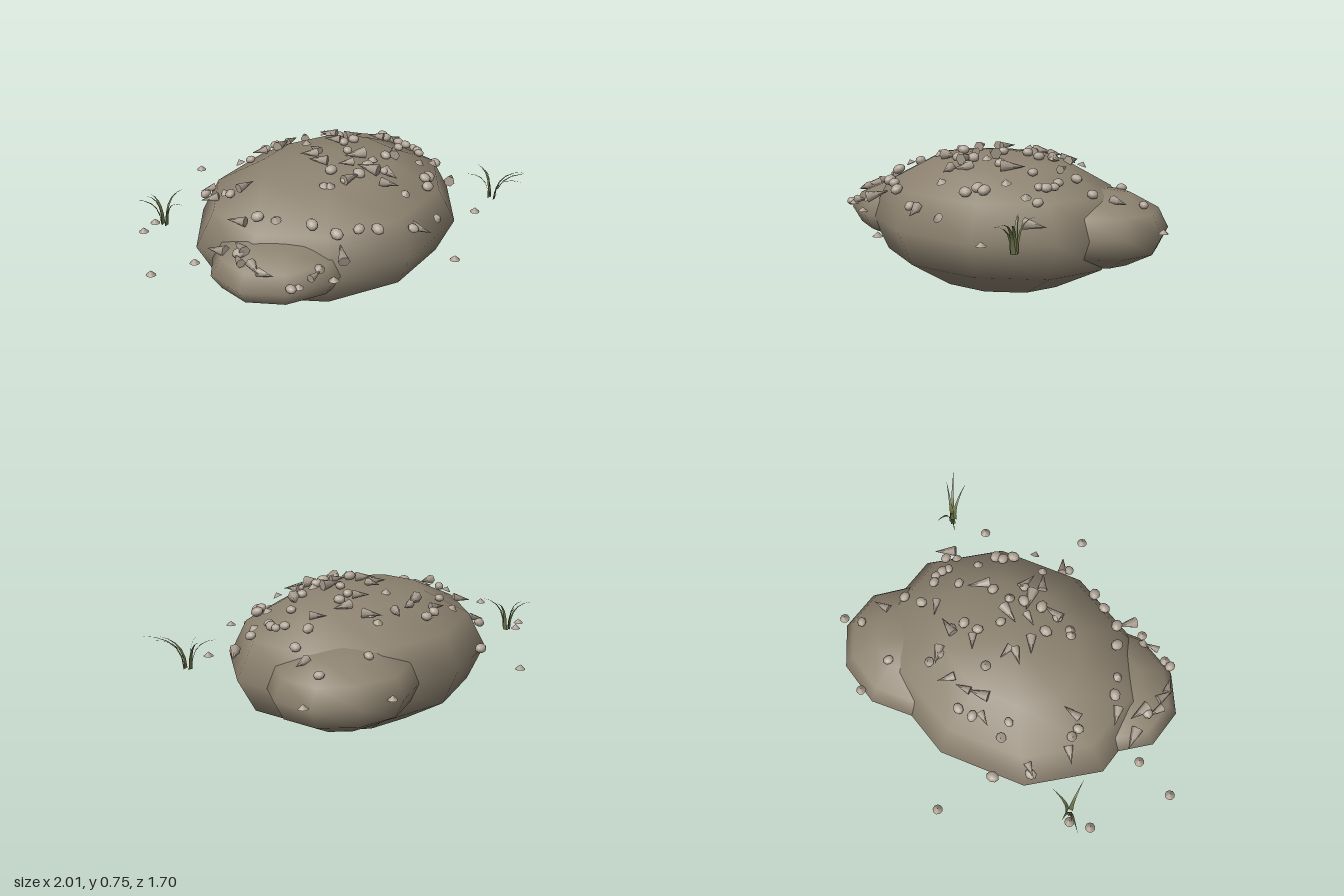
import * as THREE from 'three';

const mat = (name, color, side = THREE.FrontSide) => {
  const m = new THREE.MeshStandardMaterial({ color, side });
  m.name = name;
  return m;
};

// Lobes of the mound: name, centre x and z, radii
const BASE_Y = .36;
const LOBES = [
  ['mainMound', .1, .03, .766, .36, .61],
  ['leftBackLobe', .56, -.22, .4, .2, .36],
  ['rightFrontLobe', -.36, .22, .41, .16, .34],
];

// x, z of smooth pebbles lying on the mound
const PEBBLES = [
  [-.14, -.31], [-.43, -.12], [-.47, .14], [.11, -.4], [.03, -.39], [.58, -.39], [.84, -.3],
  [.35, -.04], [.27, -.03], [.2, .07], [.62, -.06], [.73, -.07], [.64, .07], [.66, .11], [.65, .15],
  [.63, .18], [-.01, .17], [-.01, .27], [.09, .27], [.41, .45], [.44, .4], [.48, .39], [.52, .13],
  [-.32, .37], [-.25, .47], [-.58, .51], [-.14, .51], [-.05, .55], [.15, .6], [.23, .31], [-.2, -.53],
  [-.36, -.42], [-.64, .2], [.18, .24], [.7, .24], [.35, .2],
];
// x, z of small faceted stones on the mound
const CHIPS = [
  [.38, -.3], [.36, -.24], [.12, -.16], [-.43, -.17], [.25, .21], [.52, .29], [.65, .27], [-.12, .24],
  [-.43, .23], [.39, -.1], [-.15, -.39], [.23, .47], [-.4, .52], [-.54, .52], [.36, .58], [-.1, .26],
];
// x, z of small stones around the mound
const LOOSE = [
  [-.975, -.06], [-.75, -.44], [-.75, -.01], [-.08, -.83], [.22, .82], [.68, .55], [.97, -.31],
  [.64, -.57], [-.36, .57], [-.65, -.48],
];
// x, z, heading of pointed shards
const SHARDS = [
  [-.35, -.41, 2.6], [-.03, -.37, 2.7], [.07, -.29, .3], [.15, -.31, .2], [.25, -.32, .9],
  [.36, -.25, 2], [-.47, -.24, 2.4], [-.36, -.08, 0], [.08, -.05, 1.5], [.02, -.03, 2.5],
  [.25, -.1, 2.2], [.41, -.1, -.3], [0, .06, 2.2], [.19, .13, 2.8], [.09, .17, 2.7], [.43, .18, .8],
  [.16, .26, 1.9], [.03, .28, 0], [.24, .35, -1.7], [.81, -.17, .1], [.76, .3, .6], [.2, .61, -1],
  [.18, .4, -1], [-.67, .23, 1.2], [-.66, .34, -1.9], [-.64, .4, -1.2], [-.27, .53, 1],
  [-.54, .06, 2], [-.61, .17, 1.3], [-.44, .53, .2], [.53, -.05, 2.1], [-.66, .05, 1.8],
];

// Highest point and normal of the mound at x, z
function surface(x, z) {
  const best = { p: new THREE.Vector3(x, .39, z), n: new THREE.Vector3(0, 1, 0) };
  for (const [, cx, cz, rx, ry, rz] of LOBES) {
    const u = (x - cx) / rx, w = (z - cz) / rz, v = Math.sqrt(Math.max(0, 1 - u * u - w * w));
    if (BASE_Y + ry * v > best.p.y) {
      best.p.y = BASE_Y + ry * v;
      best.n.set(u / rx, v / ry, w / rz).normalize();
    }
  }
  return best;
}

// A flat blade that rises, then arches outward to a point
function bladeGeometry(dx, dz, height, width) {
  const len = Math.hypot(dx, dz), sx = -dz / len, sz = dx / len, n = 5;
  const pos = [], index = [];
  for (let i = 0; i <= n; i++) {
    const t = i / n, out = t * t, y = height * (2 * t - t * t);
    const w = width * (1 - t) * 0.5;
    pos.push(dx * out + sx * w, y, dz * out + sz * w, dx * out - sx * w, y, dz * out - sz * w);
    if (i < n) {
      const a = 2 * i;
      index.push(a, a + 1, a + 2, a + 1, a + 3, a + 2);
    }
  }
  const g = new THREE.BufferGeometry();
  g.setAttribute('position', new THREE.Float32BufferAttribute(pos, 3));
  g.setIndex(index);
  g.computeVertexNormals();
  return g;
}

export function createModel() {
  const model = new THREE.Group();
  const earth = mat('earth', 0x8e8371);
  const pebbleMat = mat('pebble', 0xb3a799);
  const stoneMat = mat('shard stone', 0xa89c8e);
  const grassMat = mat('grass', 0x687047, THREE.DoubleSide);

  let seed = 11;
  const rand = () => (seed = (seed * 16807) % 2147483647) / 2147483647;

  // Three overlapping coarse lobes form the mound
  LOBES.forEach(([name, x, z, rx, ry, rz]) => {
    const geo = new THREE.SphereGeometry(1, 10, 6).rotateY(Math.PI / 2).scale(rx, ry, rz);
    const mesh = new THREE.Mesh(geo, earth);
    mesh.name = name;
    mesh.position.set(x, BASE_Y, z);
    model.add(mesh);
  });

  const up = new THREE.Vector3(0, 1, 0);
  const group = name => {
    const g = new THREE.Group();
    g.name = name;
    model.add(g);
    return g;
  };
  // Sets a stone on the mound; tilt 0 keeps it level, 1 follows the slope
  const place = (parent, name, geo, material, x, z, lift, tilt) => {
    const { p, n } = surface(x, z);
    const mesh = new THREE.Mesh(geo, material);
    mesh.name = name;
    mesh.position.copy(p);
    mesh.position.y += lift;
    mesh.quaternion.setFromUnitVectors(up, n.lerp(up, 1 - tilt).normalize());
    parent.add(mesh);
    return mesh;
  };

  // Rounded pebbles
  const pebbleGeo = new THREE.SphereGeometry(1, 8, 6);
  const pebbles = group('pebbles');
  PEBBLES.forEach(([x, z]) => {
    const r = .026 + rand() * .009;
    const m = place(pebbles, 'pebble', pebbleGeo, pebbleMat, x, z, .005, .6);
    m.rotateY(rand() * 6);
    m.scale.set(r, r * .7, r * .85);
  });

  // Low faceted stones, on the mound and around it
  const chipGeo = new THREE.ConeGeometry(.026, .024, 9);
  const chips = group('smallStones');
  CHIPS.forEach(([x, z]) => place(chips, 'smallStone', chipGeo, stoneMat, x, z, .012, .8));
  const loose = group('looseStones');
  LOOSE.forEach(([x, z]) => {
    const m = new THREE.Mesh(chipGeo, stoneMat);
    m.name = 'looseStone';
    m.position.set(x, .391, z);
    loose.add(m);
  });

  // Pointed shards lying nearly level
  const shardGeo = new THREE.ConeGeometry(.027, .105, 6).rotateZ(-Math.PI / 2);
  const shards = group('shards');
  SHARDS.forEach(([x, z, heading]) => {
    const m = place(shards, 'shard', shardGeo, stoneMat, x, z, .01, .3);
    m.rotateY(heading);
    m.scale.setScalar(.75 + rand() * .4);
  });

  // Two grass tufts: x, z, then each blade's reach in x and z
  [
    ['leftGrass', .87, .5, [[-.09, -.09], [.01, -.1], [.12, .17], [.03, .15], [.11, .1], [-.03, -.04]]],
    ['rightGrass', -.62, -.44, [[-.1, -.08], [.02, .13], [.11, .01], [-.01, -.08], [-.05, -.06]]],
  ].forEach(([name, x, z, blades]) => {
    const tuft = group(name);
    tuft.position.set(x, .375, z);
    blades.forEach(([dx, dz], i) => {
      const blade = new THREE.Mesh(bladeGeometry(dx, dz, .145 + (i % 3) * .012, .026), grassMat);
      blade.name = 'grassBlade';
      blade.position.set(dx * .12, 0, dz * .12);
      tuft.add(blade);
    });
  });

  return model;
}
